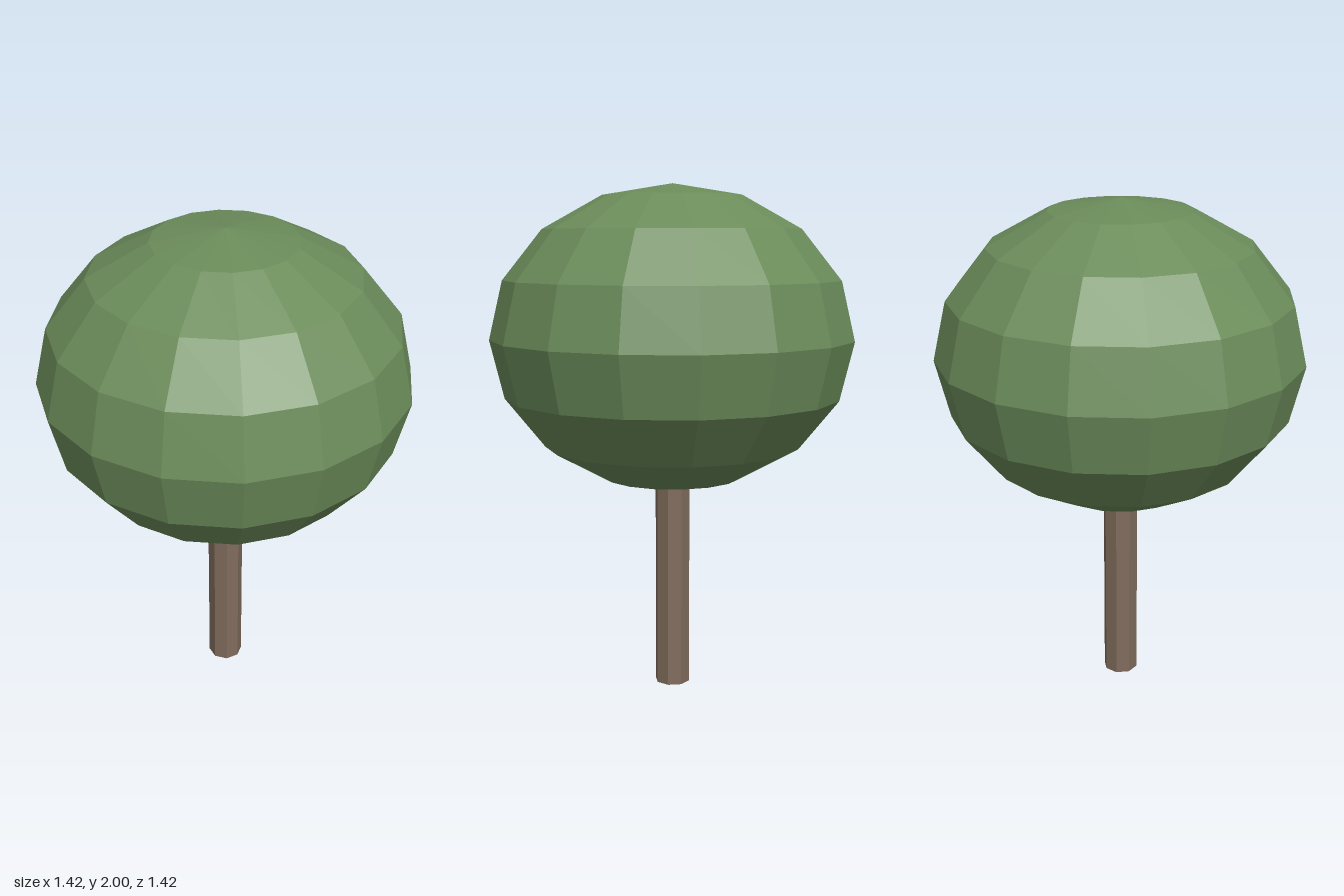
import * as THREE from 'three';

export function createModel() {
  const tree = new THREE.Group();
  tree.name = 'tree';

  const leafGreen = new THREE.MeshStandardMaterial({ name: 'leafGreen', color: 0x6b8c5a, flatShading: true });
  const barkBrown = new THREE.MeshStandardMaterial({ name: 'barkBrown', color: 0x806c5c, flatShading: true });

  // Trunk: straight octagonal post, its top tucked into the crown
  const trunkHeight = 0.86;
  const trunk = new THREE.Mesh(new THREE.CylinderGeometry(0.07, 0.07, trunkHeight, 8), barkBrown);
  trunk.name = 'trunk';
  trunk.position.y = trunkHeight / 2;

  // Crown: faceted ball, slightly squashed in height
  const crownRadius = 0.712;
  const crownHalfHeight = 0.595;
  const crownGeometry = new THREE.SphereGeometry(crownRadius, 16, 8);
  crownGeometry.scale(1, crownHalfHeight / crownRadius, 1);
  const crown = new THREE.Mesh(crownGeometry, leafGreen);
  crown.name = 'crown';
  crown.position.y = 2 - crownHalfHeight;

  tree.add(trunk, crown);
  return tree;
}
